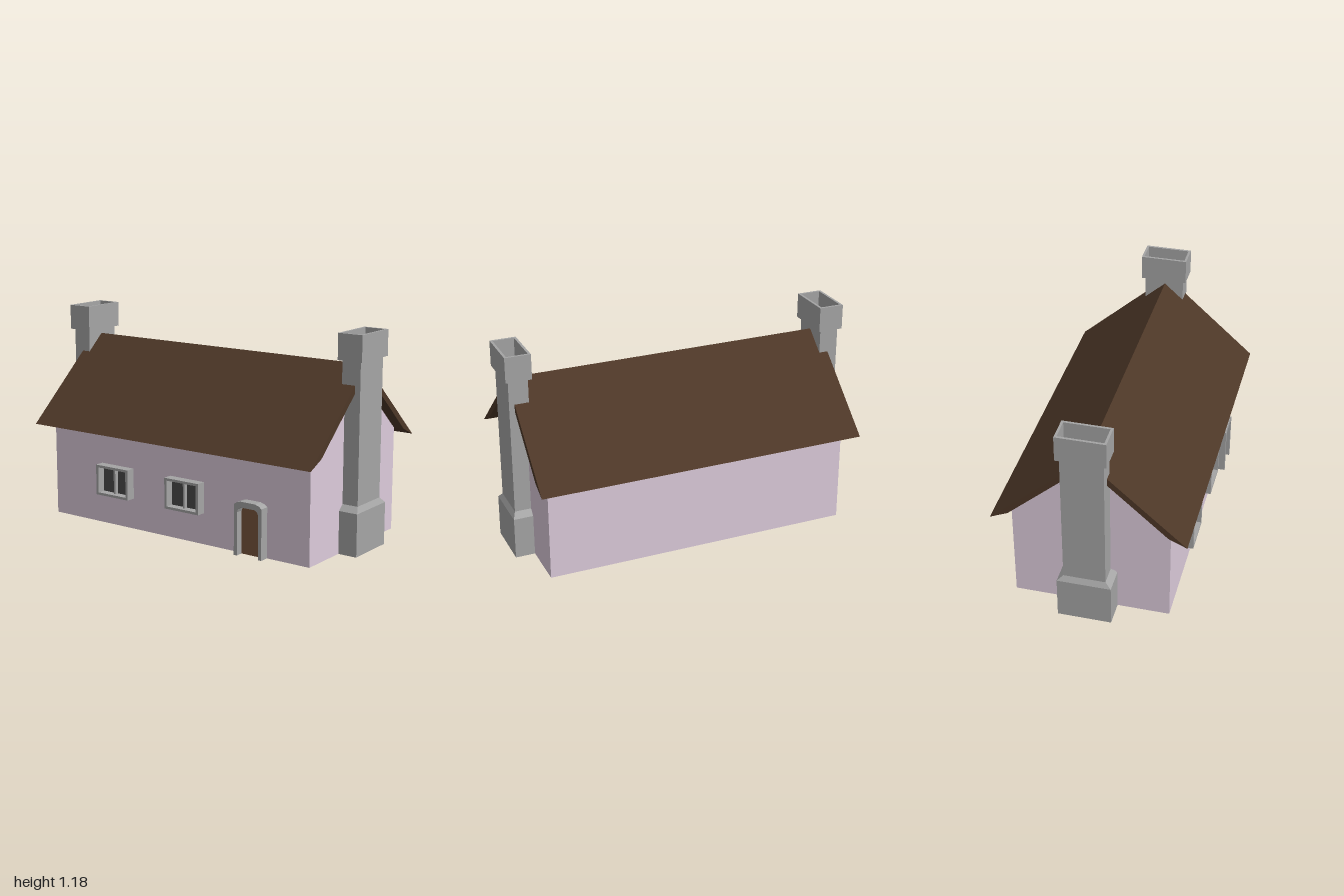
import * as THREE from 'three';

const mat = (color) => new THREE.MeshStandardMaterial({ color, flatShading: true });

export function createModel() {
  const house = new THREE.Group();
  house.name = 'cottage';
  const plaster = mat(0xdccbdb), thatch = mat(0x4d3727), stone = mat(0xa5a5a5);
  const dark = mat(0x4a4a4a), wood = mat(0x78543c);

  const add = (name, geometry, material, parent = house) => {
    const mesh = new THREE.Mesh(geometry, material);
    mesh.name = name;
    parent.add(mesh);
    return mesh;
  };
  const toPoints = (list) => list.map(([x, y]) => new THREE.Vector2(x, y));
  const extrude = (shape, depth) => new THREE.ExtrudeGeometry(shape, { depth, bevelEnabled: false });
  const box = (x0, x1, y0, y1, z0, z1) =>
    new THREE.BoxGeometry(x1 - x0, y1 - y0, z1 - z0)
      .translate((x0 + x1) / 2, (y0 + y1) / 2, (z0 + z1) / 2);

  // Gable profiles, swept along x
  const alongX = (points, x0, x1) =>
    extrude(new THREE.Shape(toPoints(points)), x1 - x0).rotateY(Math.PI / 2).translate(x0, 0, 0);
  add('walls', alongX([[-0.43, 0], [0.43, 0], [0.43, 0.585], [0, 0.968], [-0.43, 0.585]], -0.86, 0.89), plaster);
  add('roof', alongX([[0.53, 0.54], [0, 1.01], [-0.53, 0.54], [-0.43, 0.585], [0, 0.968], [0.43, 0.585]],
    -0.925, 0.952), thatch);

  // Chimney: rectangular rings [y, half x, half z], from the foot up and into the open cap
  const rings = [
    [0, 0.0725, 0.148], [0.237, 0.0725, 0.148], [0.268, 0.055, 0.115], [1.04, 0.055, 0.115],
    [1.04, 0.0725, 0.134], [1.183, 0.0725, 0.134], [1.183, 0.059, 0.121], [1.045, 0.059, 0.121],
  ];
  const corners = ([y, hx, hz]) => [[hx, y, hz], [hx, y, -hz], [-hx, y, -hz], [-hx, y, hz]];
  const position = [];
  const quad = (a, b, c, d) => position.push(...a, ...b, ...c, ...a, ...c, ...d);
  for (let i = 0; i < rings.length - 1; i++) {
    const low = corners(rings[i]), high = corners(rings[i + 1]);
    for (let k = 0; k < 4; k++) {
      const n = (k + 1) % 4;
      quad(low[k], low[n], high[n], high[k]);
    }
  }
  quad(...corners(rings[0]).reverse());
  const chimneyGeometry = new THREE.BufferGeometry();
  chimneyGeometry.setAttribute('position', new THREE.Float32BufferAttribute(position, 3));
  chimneyGeometry.computeVertexNormals();
  for (const side of [-1, 1]) {
    const chimney = new THREE.Group();
    chimney.name = side > 0 ? 'leftChimney' : 'rightChimney';
    chimney.position.set(side * 0.9275, 0, -0.005);
    add('stack', chimneyGeometry, stone, chimney);
    add('flue', box(-0.059, 0.059, 1.04, 1.05, -0.121, 0.121), dark, chimney);
    house.add(chimney);
  }

  // Windows: deep frame, recessed panes and a thin mullion
  const rect = (Type, hx, y0, y1) => new Type(toPoints([[-hx, y0], [hx, y0], [hx, y1], [-hx, y1]]));
  for (const x of [-0.394, 0.098]) {
    const win = new THREE.Group();
    win.name = x < 0 ? 'rightWindow' : 'leftWindow';
    win.position.set(x, 0, 0.425);
    const frame = rect(THREE.Shape, 0.115, 0.176, 0.35);
    frame.holes.push(rect(THREE.Path, 0.099, 0.19, 0.336));
    add('windowFrame', extrude(frame, 0.059), stone, win);
    add('panes', box(-0.1, 0.1, 0.189, 0.337, 0, 0.012), dark, win);
    add('mullion', box(-0.006, 0.006, 0.189, 0.337, 0, 0.035), stone, win);
    house.add(win);
  }

  // Door with an arched surround
  const door = new THREE.Group();
  door.name = 'door';
  door.position.set(0.538, 0, 0.425);
  const mirrored = (half) => [...half, ...half.map(([x, y]) => [-x, y]).reverse()];
  const inner = mirrored([[0.068, 0], [0.068, 0.238], [0.061, 0.256], [0.046, 0.268]]);
  const outer = mirrored([[0.088, 0], [0.088, 0.28], [0.07, 0.293], [0.046, 0.3]]);
  add('doorSurround', extrude(new THREE.Shape(toPoints([...outer, ...inner.slice().reverse()])), 0.059), stone, door);
  add('doorPanel', extrude(new THREE.Shape(toPoints(inner)), 0.015), wood, door);
  house.add(door);

  return house;
}
